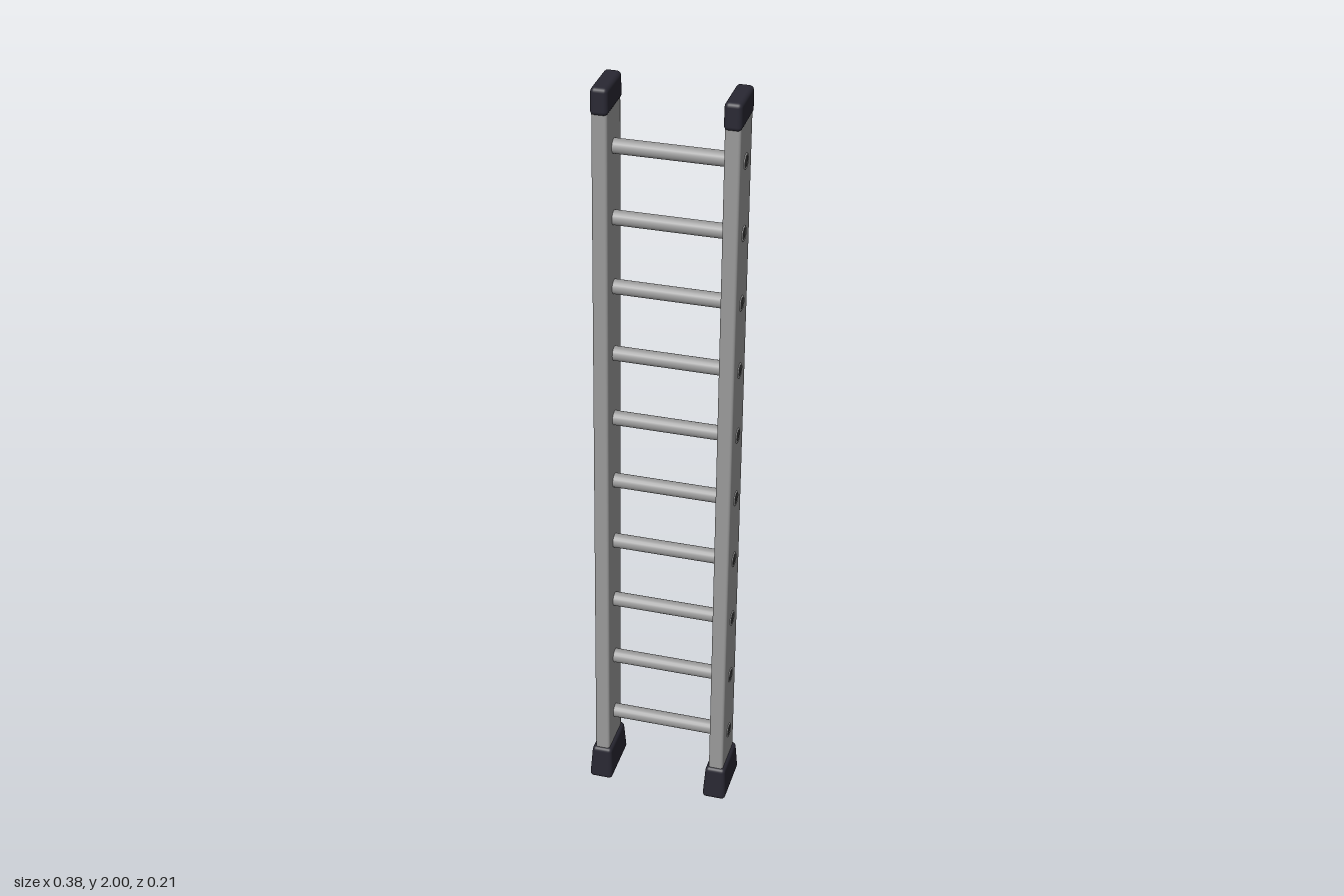
import * as THREE from 'three';
import { RoundedBoxGeometry } from 'three/addons/geometries/RoundedBoxGeometry.js';

const material = (name, color) => {
  const m = new THREE.MeshStandardMaterial({ color });
  m.name = name;
  return m;
};

// The ladder leans back slightly: z of its centre line at height y
const leanZ = (y) => 0.031 - 0.0375 * y;

// Rounded upright block from y0 to y1, tapering to `taper` at the top and following the lean
function leaningBlock(width, depth, y0, y1, radius, taper = 1) {
  const h = y1 - y0;
  const geo = new RoundedBoxGeometry(width, h, depth, 3, radius);
  const p = geo.attributes.position;
  for (let i = 0; i < p.count; i++) {
    const t = p.getY(i) / h + 0.5;
    const y = y0 + t * h;
    const s = 1 + (taper - 1) * t;
    p.setXYZ(i, p.getX(i) * s, y, p.getZ(i) * s + leanZ(y));
  }
  return geo;
}

export function createModel() {
  const model = new THREE.Group();
  model.name = 'ladder';
  const metal = material('aluminium', 0x9a9a9a);
  const rubber = material('dark rubber', 0x292833);
  const hollow = material('hollow rung end', 0x3a3a3a);

  const add = (name, geo, mat, x = 0, y = 0, z = 0) => {
    const mesh = new THREE.Mesh(geo, mat);
    mesh.name = name;
    mesh.position.set(x, y, z);
    model.add(mesh);
    return mesh;
  };

  // Side rails with rubber feet and top caps
  const railX = 0.16;
  const railGeo = leaningBlock(0.039, 0.116, 0.04, 1.97, 0.007);
  const footGeo = leaningBlock(0.064, 0.154, 0, 0.092, 0.011, 0.84);
  const capGeo = leaningBlock(0.044, 0.127, 1.932, 2, 0.011, 0.97);
  for (const [side, s] of [['left', 1], ['right', -1]]) {
    add(side + 'Rail', railGeo, metal, s * railX);
    add(side + 'Foot', footGeo, rubber, s * railX);
    add(side + 'Cap', capGeo, rubber, s * railX);
  }

  // Round rungs, with a rolled rim and a hollow centre on each rail's outer face
  const rungGeo = new THREE.CylinderGeometry(0.019, 0.019, 0.32, 20).rotateZ(Math.PI / 2);
  const rimGeo = new THREE.TorusGeometry(0.017, 0.003, 8, 20).rotateY(Math.PI / 2);
  const holeGeo = new THREE.CylinderGeometry(0.016, 0.016, 0.003, 20).rotateZ(Math.PI / 2);
  for (let i = 0; i < 10; i++) {
    const y = 0.18 + i * 0.184;
    const z = leanZ(y);
    add('rung' + (i + 1), rungGeo, metal, 0, y, z);
    for (const s of [1, -1]) {
      add('rungRim', rimGeo, metal, s * 0.1795, y, z);
      add('rungHole', holeGeo, hollow, s * 0.1795, y, z);
    }
  }
  return model;
}
